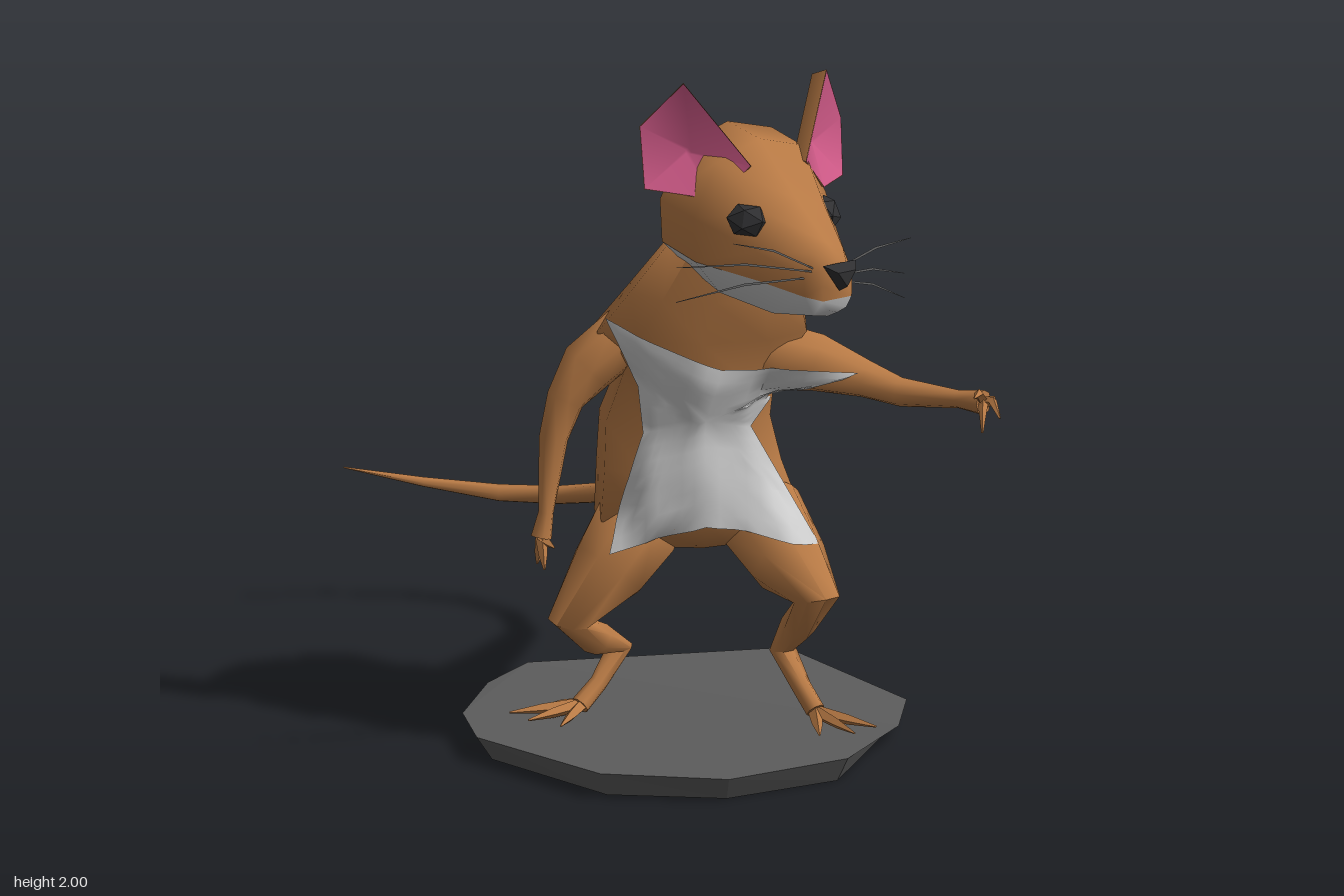
import * as THREE from 'three';
import { toCreasedNormals } from 'three/addons/utils/BufferGeometryUtils.js';

const V = (x, y, z) => new THREE.Vector3(x, y, z);
const mat = (color, extra = {}) => new THREE.MeshStandardMaterial({ color, side: THREE.DoubleSide, ...extra });
const FUR = mat(0xb87a45), PINK = mat(0xd05a88), DARK = mat(0x303032, { flatShading: true });
const PALE = mat(0xcccccc), GREY = mat(0x555555), STONE = mat(0x5c5c5c, { flatShading: true });

// Skin over a row of rings; points run counter-clockwise about the travel direction.
function loft(rings, { closed = true, startCap = true, endCap = true, crease = 1.2 } = {}) {
  const n = rings[0].length, pos = [], idx = [];
  rings.forEach(r => r.forEach(p => pos.push(p.x, p.y, p.z)));
  for (let i = 0; i < rings.length - 1; i++) {
    for (let j = 0; j < (closed ? n : n - 1); j++) {
      const a = i * n + j, b = i * n + (j + 1) % n;
      idx.push(a, b, a + n, b, b + n, a + n);
    }
  }
  const last = (rings.length - 1) * n;
  for (let j = 1; j < n - 1; j++) {
    if (startCap) idx.push(0, j + 1, j);
    if (endCap) idx.push(last, last + j, last + j + 1);
  }
  const g = new THREE.BufferGeometry();
  g.setAttribute('position', new THREE.Float32BufferAttribute(pos, 3));
  g.setIndex(idx);
  return toCreasedNormals(g, crease);
}

// Tapered tube through [x, y, z, radius] points.
function limb(pts, sides = 6) {
  const c = pts.map(p => V(p[0], p[1], p[2]));
  let u = null;
  return loft(pts.map((p, i) => {
    const t = c[Math.min(i + 1, c.length - 1)].clone().sub(c[Math.max(i - 1, 0)]).normalize();
    if (!u) u = Math.abs(t.y) > 0.8 ? V(1, 0, 0) : V(0, 1, 0);
    u = u.clone().addScaledVector(t, -u.dot(t)).normalize();
    const v = t.clone().cross(u);
    return Array.from({ length: sides }, (_, k) => {
      const a = k / sides * Math.PI * 2;
      return c[i].clone().addScaledVector(u, Math.cos(a) * p[3]).addScaledVector(v, Math.sin(a) * p[3]);
    });
  }));
}

export function createModel() {
  const model = new THREE.Group();
  const add = (name, geo, material, parent = model) => {
    const m = new THREE.Mesh(geo, material);
    m.name = name;
    parent.add(m);
    return m;
  };
  const addGroup = name => {
    const g = new THREE.Group();
    g.name = name;
    model.add(g);
    return g;
  };

  // Rough stone slab: rim points x, z, height
  const slab = [[-.09, -.31, .03], [.35, -.21, .075], [.62, .2, .035], [.55, .47, .045], [.34, .84, .075],
    [-.02, .96, .07], [-.37, .86, .075], [-.65, .45, .07], [-.65, .22, .07], [-.53, -.05, .07], [-.39, -.2, .075]].reverse();
  add('base', loft([slab.map(([x, z]) => V(x * .93, x > .5 ? .02 : 0, .32 + (z - .32) * .93)),
    slab.map(([x, z, y]) => V(x, y, z))]), STONE);

  // Torso: y, centre x, centre z, half width, half depth, twist
  const torso = [[.57, .01, .29, .13, .09, 0], [.65, .01, .28, .3, .185, 0], [.8, -.01, .25, .265, .215, 0],
    [.93, -.02, .24, .245, .21, .03], [1.08, .01, .28, .225, .22, .1], [1.21, .01, .34, .31, .17, .15],
    [1.34, .04, .39, .25, .16, .18], [1.5, .09, .42, .18, .14, .24]];
  const body = [add('torso', loft(torso.map(([y, cx, cz, rx, rz, tw]) => Array.from({ length: 10 }, (_, k) => {
    const a = k / 10 * Math.PI * 2;
    return V(Math.sin(a) * rx, 0, Math.cos(a) * rz).applyAxisAngle(V(0, 1, 0), -tw).add(V(cx, y, cz));
  }))), FUR)];

  // Arms and legs, rooted deep inside the torso
  const limbs = {
    rightArm: [[-.04, 1.25, .34, .03], [-.2, 1.19, .31, .085], [-.31, 1.1, .31, .082], [-.375, 1.01, .32, .055],
      [-.41, .9, .33, .042], [-.435, .69, .35, .022], [-.45, .62, .36, .03]],
    leftArm: [[.06, 1.14, .34, .03], [.22, 1.12, .37, .1], [.33, 1.105, .4, .085], [.46, 1.065, .45, .055],
      [.55, 1.04, .51, .042], [.69, 1.055, .65, .026], [.75, 1.06, .71, .036]],
    rightLeg: [[-.06, .74, .27, .03], [-.16, .62, .28, .135], [-.25, .5, .31, .115], [-.37, .37, .36, .062],
      [-.28, .29, .28, .05], [-.2, .24, .21, .037], [-.27, .15, .26, .026], [-.33, .1, .3, .028]],
    leftLeg: [[.09, .76, .26, .03], [.18, .64, .31, .135], [.24, .54, .44, .115], [.3, .46, .56, .07],
      [.26, .36, .48, .05], [.23, .27, .41, .038], [.27, .18, .49, .028], [.3, .125, .54, .028]],
  };
  for (const [name, pts] of Object.entries(limbs)) body.push(add(name, limb(pts, 8), FUR));

  // Fingers and toes: root, then tips
  const digits = (name, root, r, tips) => {
    const g = addGroup(name);
    for (const [x, y, z, bend = 0] of tips) {
      const mid = [0, 1, 2].map(i => root[i] * .45 + [x, y, z][i] * .55);
      add('digit', limb([[...root, r], [mid[0], mid[1] + bend, mid[2], r * .75], [x, y, z, .003]], 4), FUR, g);
    }
  };
  digits('rightFingers', [-.45, .62, .36], .017, [[-.45, .54, .41], [-.46, .54, .35], [-.44, .56, .3], [-.42, .6, .4]]);
  digits('leftFingers', [.75, 1.06, .71], .018, [[.73, 1.0, .8, .04], [.78, 1.04, .8, .03], [.79, 1.03, .74, .03], [.71, 1.1, .79, .02]]);
  digits('rightToes', [-.32, .1, .29], .02, [[-.53, .09, .3], [-.49, .09, .38], [-.41, .09, .45], [-.42, .09, .25]]);
  digits('leftToes', [.3, .12, .53], .02, [[.45, .11, .67], [.38, .11, .72], [.28, .11, .72], [.38, .11, .58]]);

  // Tail
  add('tail', limb([[-.01, .82, .12, .08], [-.01, .775, .02, .078], [.01, .64, -.2, .058], [.025, .495, -.47, .034],
    [-.05, .405, -.69, .03], [-.19, .35, -.86, .027], [-.34, .34, -.94, .025], [-.55, .37, -.985, .014],
    [-.78, .43, -.97, .002]], 7), FUR);

  // Pale chest patch: a star laid onto the body by casting rays from the front
  const star = [[-.27, 1.26], [-.18, 1.06], [-.17, .93], [-.265, .575], [0, .66], [.32, .6], [.14, .93],
    [.24, 1.03], [.43, 1.1], [.04, 1.13]];
  const ray = new THREE.Raycaster(), steps = 8, pos = [];
  model.updateMatrixWorld(true);
  const onBody = (x, y) => {
    ray.set(V(x, y, 3), V(0, 0, -1));
    const hit = ray.intersectObjects(body)[0];
    return V(x, y, (hit ? hit.point.z : .36) + .013);
  };
  star.forEach((p, i) => {
    const q = star[(i + 1) % star.length], c = [0, .97];
    const at = (a, b) => onBody(...[0, 1].map(k => c[k] + ((p[k] - c[k]) * a + (q[k] - c[k]) * b) / steps));
    for (let a = 0; a < steps; a++) {
      for (let b = 0; a + b < steps; b++) {
        const tris = [[a, b], [a + 1, b], [a, b + 1]];
        if (a + b < steps - 1) tris.push([a + 1, b], [a + 1, b + 1], [a, b + 1]);
        tris.forEach(t => pos.push(...at(...t).toArray()));
      }
    }
  });
  const patch = new THREE.BufferGeometry();
  patch.setAttribute('position', new THREE.Float32BufferAttribute(pos, 3));
  add('chestPatch', toCreasedNormals(patch, 1.2), PALE);

  // Head, turned to its left: distance forward, half width, top, jaw line, underside
  const head = [[-.2, .15, 1.74, 1.54, 1.45], [-.1, .23, 1.83, 1.515, 1.42], [.06, .225, 1.82, 1.495, 1.38],
    [.25, .14, 1.69, 1.475, 1.36], [.4, .08, 1.6, 1.455, 1.385], [.45, .05, 1.56, 1.45, 1.41]];
  const place = (t, s, y) => V(.115 + .41 * t + .91 * s, y, .49 + .91 * t - .41 * s);
  add('head', loft(head.map(([t, w, top, jaw]) =>
    [[.97, 0], [1, .4], [.65, .86], [0, 1], [-.65, .86], [-1, .4], [-.97, 0]]
      .map(([s, k]) => place(t, s * w, jaw + (top - jaw) * k))), { closed: false }), FUR);
  add('jaw', loft(head.map(([t, w, , jaw, low]) =>
    [[-.97, jaw], [-.6, low + .01], [0, low], [.6, low + .01], [.97, jaw]]
      .map(([s, y]) => place(t, s * w, y))), { closed: false }), PALE);

  // Nose
  add('nose', loft([[.42, .03], [.46, .055], [.5, .03]].map(([t, r]) =>
    [[1, .6], [-1, .6], [0, -.9]].map(([s, y]) => place(t, s * r, 1.525 + y * r)))), DARK);

  // Eyes, lying on the slanting cheeks
  for (const [side, yaw] of [['right', -.55], ['left', 1.33]]) {
    const eye = add(side + 'Eye', new THREE.IcosahedronGeometry(1, 0), DARK);
    eye.scale.set(.065, .05, .035);
    eye.position.copy(place(.2, side === 'left' ? .138 : -.138, side === 'left' ? 1.615 : 1.64));
    eye.rotation.set(-.35, yaw, 0, 'YXZ');
  }

  // Ears: rim points counter-clockwise from the open side, and the way to the back
  const ears = {
    rightEar: [[[-.2, 1.87, .53], [-.19, 1.69, .55], [0, 1.67, .62], [.1, 1.77, .64], [-.08, 2, .56]], [.02, -.02, -.08]],
    leftEar: [[[.36, 1.96, .38], [.27, 1.75, .56], [.33, 1.655, .51], [.41, 1.64, .36], [.41, 1.8, .33]], [-.05, -.01, -.06]],
  };
  for (const [name, [rim, back]] of Object.entries(ears)) {
    const g = addGroup(name), off = V(...back), ring = rim.map(p => V(...p));
    const mid = ring.reduce((s, p) => s.add(p), V(0, 0, 0)).multiplyScalar(.2);
    const scaled = (s, k) => ring.map(p => p.clone().sub(mid).multiplyScalar(s).add(mid).addScaledVector(off, k));
    add('earShell', loft([scaled(.55, 1), scaled(.92, .7), ring], { endCap: false, crease: 1 }), FUR, g);
    add('innerEar', loft([scaled(.99, 0), scaled(.05, .75)], { startCap: false }), PINK, g);
  }

  // Whiskers, three on each cheek
  const whiskers = addGroup('whiskers');
  for (const [a, b] of [
    [[.31, 1.53, .87], [.54, 1.56, .72]], [[.31, 1.51, .87], [.52, 1.46, .73]], [[.31, 1.49, .86], [.52, 1.39, .74]],
    [[.23, 1.54, .89], [-.01, 1.65, .97]], [[.23, 1.53, .89], [-.17, 1.585, .96]], [[.23, 1.51, .88], [-.17, 1.48, .95]],
  ]) {
    const m = a.map((v, i) => (v + b[i]) / 2);
    add('whisker', limb([[...a, .003], [m[0], m[1] + .018, m[2] + .01, .004], [...b, .001]], 3), GREY, whiskers);
  }
  return model;
}
